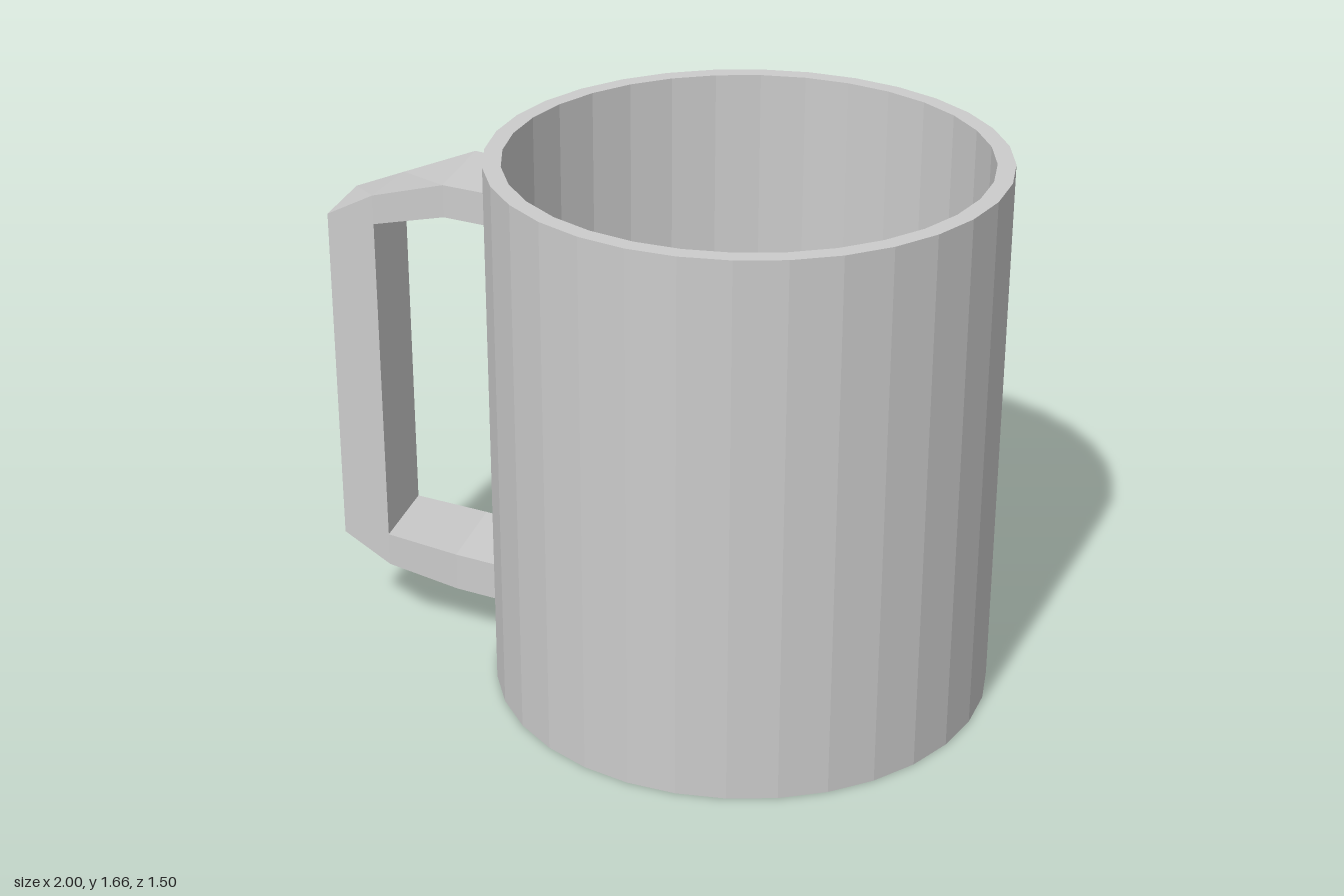
import * as THREE from 'three';

const material = new THREE.MeshStandardMaterial({ color: 0xcccccc, flatShading: true });

// Hollow 32-sided cup: outer wall, rim, inner wall and floor
function createCup() {
  const R = 0.7525, r = 0.70, height = 1.66, floor = 0.06;
  const profile = [[0, 0], [R, 0], [R, height], [r, height], [r, floor], [0, floor]]
    .map(([x, y]) => new THREE.Vector2(x, y));
  const cup = new THREE.Mesh(new THREE.LatheGeometry(profile, 32), material);
  cup.name = 'cup';
  cup.position.x = 0.2475;
  return cup;
}

// Angular handle lofted through four-cornered sections, from the upper joint to the lower one
function createHandle() {
  // Plan positions [x, z] of the front and back edges, outward from the cup
  const front = [[-0.485, -0.005], [-0.505, -0.01], [-0.64, -0.065], [-0.855, -0.105], [-1.0, -0.15]];
  const back = [[-0.43, -0.28], [-0.455, -0.29], [-0.585, -0.35], [-0.805, -0.368], [-0.955, -0.38]];

  // Edge heights of one arm; the last section shares the inner corner of the one before
  const arm = (outerFront, outerBack, inner) => front.map((f, i) => {
    const k = Math.min(i, 3);
    const at = ([x, z], y) => new THREE.Vector3(x, y, z);
    return [at(f, outerFront[i]), at(back[i], outerBack[i]), at(back[k], inner[k]), at(front[k], inner[k])];
  });
  const upper = arm([1.52, 1.52, 1.52, 1.465, 1.385], [1.52, 1.52, 1.52, 1.44, 1.385], [1.42, 1.42, 1.42, 1.375]);
  const lower = arm([0.18, 0.18, 0.18, 0.235, 0.32], [0.18, 0.18, 0.18, 0.262, 0.32], [0.30, 0.30, 0.30, 0.34]);
  const sections = [...upper, ...lower.reverse()];

  // Skin neighbouring sections, leaving out collapsed triangles
  const points = [];
  const triangle = (a, b, c) => {
    if (new THREE.Triangle(a, b, c).getArea() > 1e-6) points.push(a, b, c);
  };
  for (let s = 0; s < sections.length - 1; s++) {
    const a = sections[s], b = sections[s + 1];
    for (let j = 0; j < 4; j++) {
      const n = (j + 1) % 4;
      triangle(a[j], a[n], b[n]);
      triangle(a[j], b[n], b[j]);
    }
  }
  const geometry = new THREE.BufferGeometry().setFromPoints(points);
  geometry.computeVertexNormals();
  const handle = new THREE.Mesh(geometry, material);
  handle.name = 'handle';
  return handle;
}

export function createModel() {
  const mug = new THREE.Group();
  mug.name = 'mug';
  mug.add(createCup(), createHandle());
  return mug;
}
